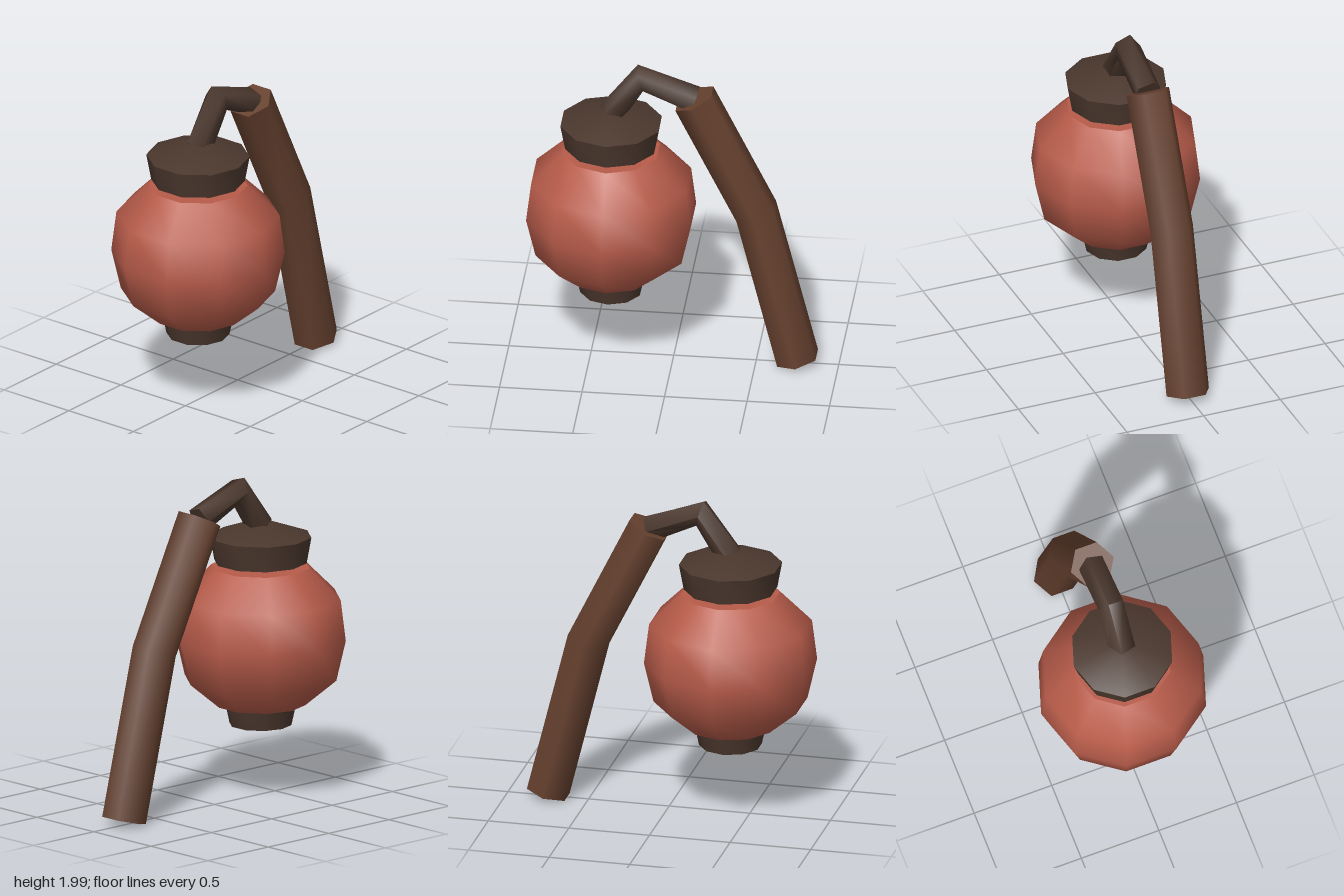
import * as THREE from 'three';
import { toCreasedNormals } from 'three/addons/utils/BufferGeometryUtils.js';

const LANTERN_Z = 0.38;
const SIDES = 10;

const paper = new THREE.MeshStandardMaterial({ color: 0xb85c4a });
const wood = new THREE.MeshStandardMaterial({ color: 0x66412f });
const iron = new THREE.MeshStandardMaterial({ color: 0x4a372d });

function addMesh(parent, name, geometry, material) {
  const mesh = new THREE.Mesh(geometry, material);
  mesh.name = name;
  parent.add(mesh);
  return mesh;
}

// Ten-sided turned shape, profile of [radius, y] from bottom to top
function turned(profile) {
  const points = profile.map(([r, y]) => new THREE.Vector2(r, y));
  return new THREE.LatheGeometry(points, SIDES, Math.PI / 2);
}

// Bent rod: polygon rings along a path of [y, z], with closed ends
function bentRod(path, radius, sides, startAngle) {
  const centres = path.map(([y, z]) => new THREE.Vector3(0, y, z));
  const xAxis = new THREE.Vector3(1, 0, 0);
  const last = centres.length - 1;
  const positions = [];
  const index = [];
  centres.forEach((c, i) => {
    const tangent = new THREE.Vector3();
    if (i > 0) tangent.add(c.clone().sub(centres[i - 1]).normalize());
    if (i < last) tangent.add(centres[i + 1].clone().sub(c).normalize());
    const normal = tangent.normalize().cross(xAxis);
    for (let j = 0; j < sides; j++) {
      const a = startAngle + (j / sides) * Math.PI * 2;
      const p = c.clone()
        .addScaledVector(xAxis, radius * Math.cos(a))
        .addScaledVector(normal, radius * Math.sin(a));
      positions.push(p.x, p.y, p.z);
    }
  });
  for (let i = 0; i < last; i++) {
    for (let j = 0; j < sides; j++) {
      const a = i * sides + j;
      const b = i * sides + (j + 1) % sides;
      index.push(a, b, b + sides, a, b + sides, a + sides);
    }
  }
  for (let j = 1; j < sides - 1; j++) {
    const e = last * sides;
    index.push(0, j + 1, j, e, e + j, e + j + 1);
  }
  const geometry = new THREE.BufferGeometry();
  geometry.setAttribute('position', new THREE.Float32BufferAttribute(positions, 3));
  geometry.setIndex(index);
  return toCreasedNormals(geometry, THREE.MathUtils.degToRad(77));
}

export function createModel() {
  const model = new THREE.Group();
  model.name = 'hangingLantern';

  // Leaning post and the hook at its top
  addMesh(model, 'post', bentRod([[0.035, -0.75], [1.04, -0.5], [1.8, -0.125]], 0.138, 6, 0), wood);
  addMesh(model, 'hook', bentRod([[1.66, 0.38], [1.922, 0.197], [1.795, -0.125]], 0.086, 5, Math.PI), iron);

  const lantern = new THREE.Group();
  lantern.name = 'lantern';
  lantern.position.z = LANTERN_Z;
  model.add(lantern);

  // Round shade with flat ends
  addMesh(lantern, 'shade', turned([
    [0.275, 0.57], [0.465, 0.73], [0.523, 0.98], [0.492, 1.23], [0.3, 1.42],
  ]), paper);
  const top = addMesh(lantern, 'shadeTop', new THREE.CircleGeometry(0.3, SIDES), paper);
  top.rotation.x = -Math.PI / 2;
  top.position.y = 1.42;
  const bottom = addMesh(lantern, 'shadeBottom', new THREE.CircleGeometry(0.275, SIDES), paper);
  bottom.rotation.x = Math.PI / 2;
  bottom.position.y = 0.57;

  // Caps above and below the shade
  const crease = THREE.MathUtils.degToRad(40);
  addMesh(lantern, 'topCap', toCreasedNormals(
    turned([[0, 1.45], [0.283, 1.45], [0.312, 1.61], [0, 1.72]]), crease), iron);
  addMesh(lantern, 'bottomCap', toCreasedNormals(
    turned([[0, 0.415], [0.19, 0.443], [0.218, 0.572]]), crease), iron);

  return model;
}
